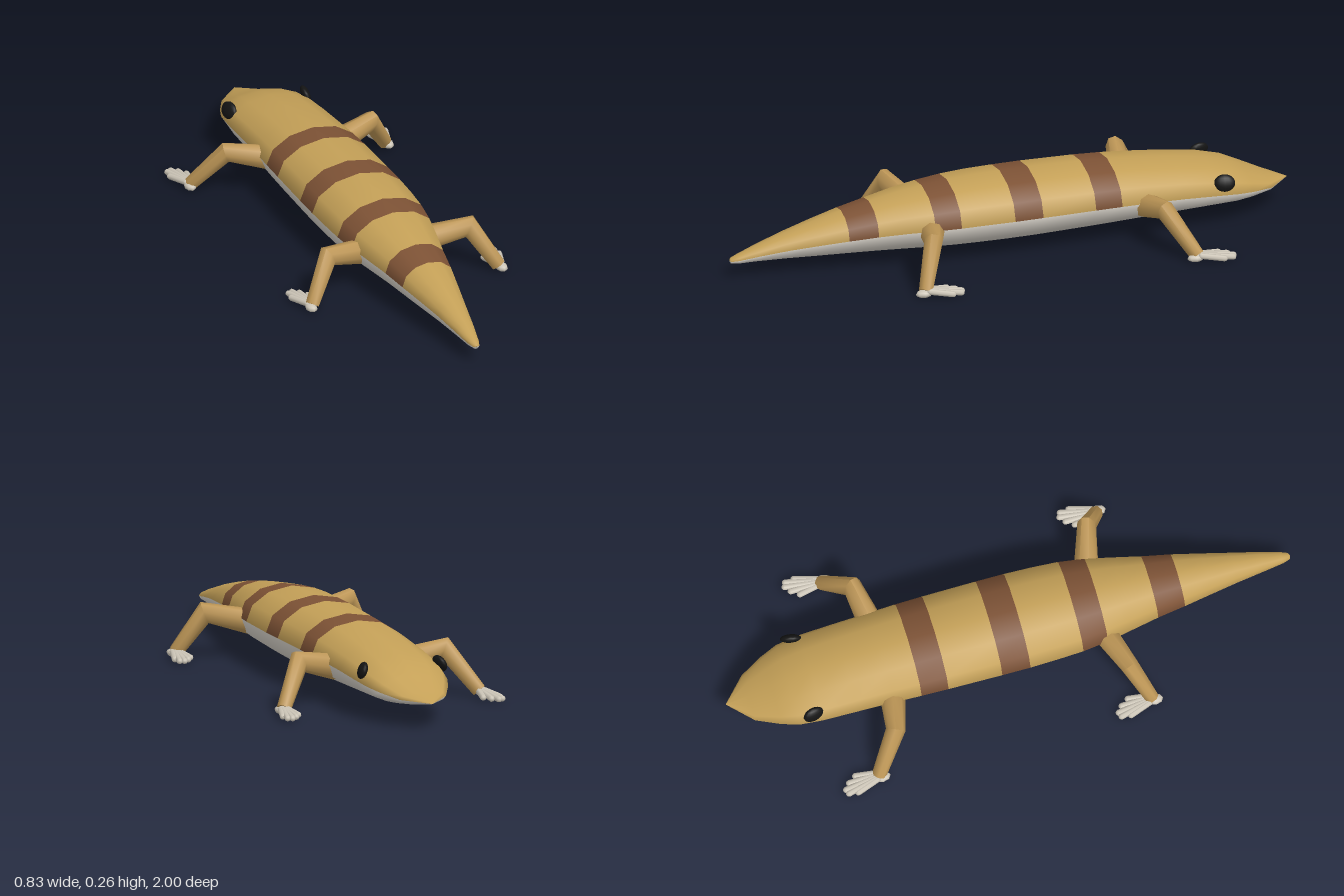
import * as THREE from 'three';
import { toCreasedNormals } from 'three/addons/utils/BufferGeometryUtils.js';

const mat = (color) => new THREE.MeshStandardMaterial({ color });
const V = (x, y, z) => new THREE.Vector3(x, y, z);

// Body stations from snout to tail tip: z, half width, top y, bottom y, striped up to the next station
const STATIONS = [
  [-1, 0.001, 0.096, 0.094], [-0.92, 0.085, 0.122, 0.078], [-0.84, 0.127, 0.162, 0.065],
  [-0.78, 0.15, 0.19, 0.058], [-0.7, 0.16, 0.212, 0.053], [-0.58, 0.164, 0.232, 0.048],
  [-0.45, 0.168, 0.247, 0.043], [-0.355, 0.172, 0.255, 0.04, 1], [-0.26, 0.174, 0.26, 0.037],
  [-0.07, 0.176, 0.265, 0.033, 1], [0.03, 0.176, 0.265, 0.033], [0.13, 0.173, 0.264, 0.034],
  [0.22, 0.168, 0.259, 0.036, 1], [0.31, 0.156, 0.25, 0.039], [0.4, 0.137, 0.238, 0.042],
  [0.5, 0.115, 0.219, 0.045, 1], [0.6, 0.097, 0.198, 0.048], [0.7, 0.076, 0.173, 0.05],
  [0.8, 0.055, 0.145, 0.053], [0.9, 0.036, 0.112, 0.055], [0.97, 0.021, 0.086, 0.054],
  [0.995, 0.012, 0.076, 0.056], [1, 0.001, 0.067, 0.065],
];
const SIDES = 12;

// Skin a list of rings; pick(i, j) chooses which quads belong to the surface
function quads(rings, sides, pick = () => true) {
  const index = [];
  for (let i = 0; i < rings - 1; i++) {
    for (let j = 0; j < sides; j++) {
      if (!pick(i, j)) continue;
      const k = (j + 1) % sides;
      const a = i * sides + j, b = i * sides + k;
      index.push(a, b, a + sides, b, b + sides, a + sides);
    }
  }
  return index;
}

function loft(points, rings, sides) {
  const geo = new THREE.BufferGeometry().setFromPoints(points);
  geo.setIndex(quads(rings, sides));
  geo.computeVertexNormals();
  return geo;
}

function addMesh(parent, name, geo, material) {
  const mesh = new THREE.Mesh(geo, material);
  mesh.name = name;
  parent.add(mesh);
  return mesh;
}

// Back, stripes and belly share one smooth set of rings
function buildBody(mats) {
  const body = new THREE.Group();
  body.name = 'body';
  const points = STATIONS.flatMap(([z, w, top, bottom]) =>
    Array.from({ length: SIDES }, (_, j) => {
      const a = (j / SIDES) * Math.PI * 2;
      return V(w * Math.cos(a), (top + bottom) / 2 + ((top - bottom) / 2) * Math.sin(a), z);
    }));
  const whole = loft(points, STATIONS.length, SIDES);
  const upper = (j) => j < SIDES / 2;
  const parts = {
    back: [mats.skin, (i, j) => upper(j) && !STATIONS[i][4]],
    stripes: [mats.stripe, (i, j) => upper(j) && !!STATIONS[i][4]],
    belly: [mats.belly, (i, j) => !upper(j)],
  };
  for (const [name, [material, pick]] of Object.entries(parts)) {
    const geo = whole.clone();
    geo.setIndex(quads(STATIONS.length, SIDES, pick));
    addMesh(body, name, geo, material);
  }
  return body;
}

// Bent limb with a mitred joint and closed ends
function limbGeometry([root, knee, ankle], [r0, r1, r2], sides = 8) {
  const d1 = knee.clone().sub(root).normalize();
  const d2 = ankle.clone().sub(knee).normalize();
  const n = d1.clone().cross(d2).normalize();
  const mid = d1.clone().add(d2).normalize();
  const rings = [
    [root, d1, 0, 1], [root, d1, r0, 1], [knee, mid, r1, 1 / mid.dot(d1)],
    [ankle, d2, r2, 1], [ankle, d2, 0, 1],
  ];
  const points = rings.flatMap(([c, t, r, stretch]) => {
    const v = t.clone().cross(n);
    return Array.from({ length: sides }, (_, j) => {
      const a = ((j + 0.5) / sides) * Math.PI * 2;
      return c.clone().addScaledVector(n, r * Math.cos(a)).addScaledVector(v, r * stretch * Math.sin(a));
    });
  });
  return toCreasedNormals(loft(points, rings.length, sides), 0.9);
}

// Rounded toe between two points
function addToe(parent, from, to, radius, material) {
  const dir = to.clone().sub(from);
  const toe = addMesh(parent, 'toe', new THREE.CapsuleGeometry(radius, dir.length() - radius, 3, 7), material);
  toe.position.copy(from).add(to).multiplyScalar(0.5);
  toe.quaternion.setFromUnitVectors(V(0, 1, 0), dir.normalize());
}

// Toe tips relative to the ankle: sideways, forward
const TOES = [[-0.02, -0.085], [0.0, -0.112], [0.021, -0.128], [0.037, -0.122], [0.042, -0.09]];

function buildLeg(name, side, joints, mats, toeScale) {
  const leg = new THREE.Group();
  leg.name = name;
  const pts = joints.map(([x, y, z]) => V(side * x, y, z));
  addMesh(leg, 'limb', limbGeometry(pts, [0.045, 0.033, 0.025]), mats.limb);

  const foot = new THREE.Group();
  foot.name = 'foot';
  foot.position.set(pts[2].x, 0, pts[2].z);
  leg.add(foot);
  TOES.forEach(([x, z], i) => addToe(foot, V(side * (-0.006 + i * 0.005), 0.023, -0.005),
    V(side * x, 0.013, z * toeScale), 0.011, mats.toe));
  // Heel pad
  const heel = addMesh(foot, 'heel', new THREE.SphereGeometry(1, 8, 6), mats.toe);
  heel.scale.set(0.02, 0.014, 0.03);
  heel.position.set(side * 0.008, 0.015, 0.008);
  return leg;
}

export function createModel() {
  const model = new THREE.Group();
  model.name = 'lizard';
  const mats = {
    skin: mat(0xc4a057), stripe: mat(0x7d5235), belly: mat(0xd2cdc4),
    limb: mat(0xbd9656), toe: mat(0xcdc6b8), eye: mat(0x141414),
  };
  model.add(buildBody(mats));

  for (const side of [1, -1]) {
    const label = side > 0 ? 'left' : 'right';
    model.add(buildLeg(label + 'HeadEndLeg', side,
      [[0.12, 0.122, -0.445], [0.27, 0.16, -0.475], [0.362, 0.02, -0.56]], mats, 1));
    model.add(buildLeg(label + 'TailEndLeg', side,
      [[0.1, 0.122, 0.305], [0.265, 0.16, 0.355], [0.348, 0.02, 0.41]], mats, 1));

    // Eye, set flush into the side of the head
    const eye = addMesh(model, label + 'Eye', new THREE.SphereGeometry(1, 14, 10), mats.eye);
    eye.scale.set(0.015, 0.03, 0.037);
    eye.position.set(side * 0.143, 0.17, -0.73);
    eye.rotation.set(0, side * -0.2, side * 0.35);
  }
  return model;
}
